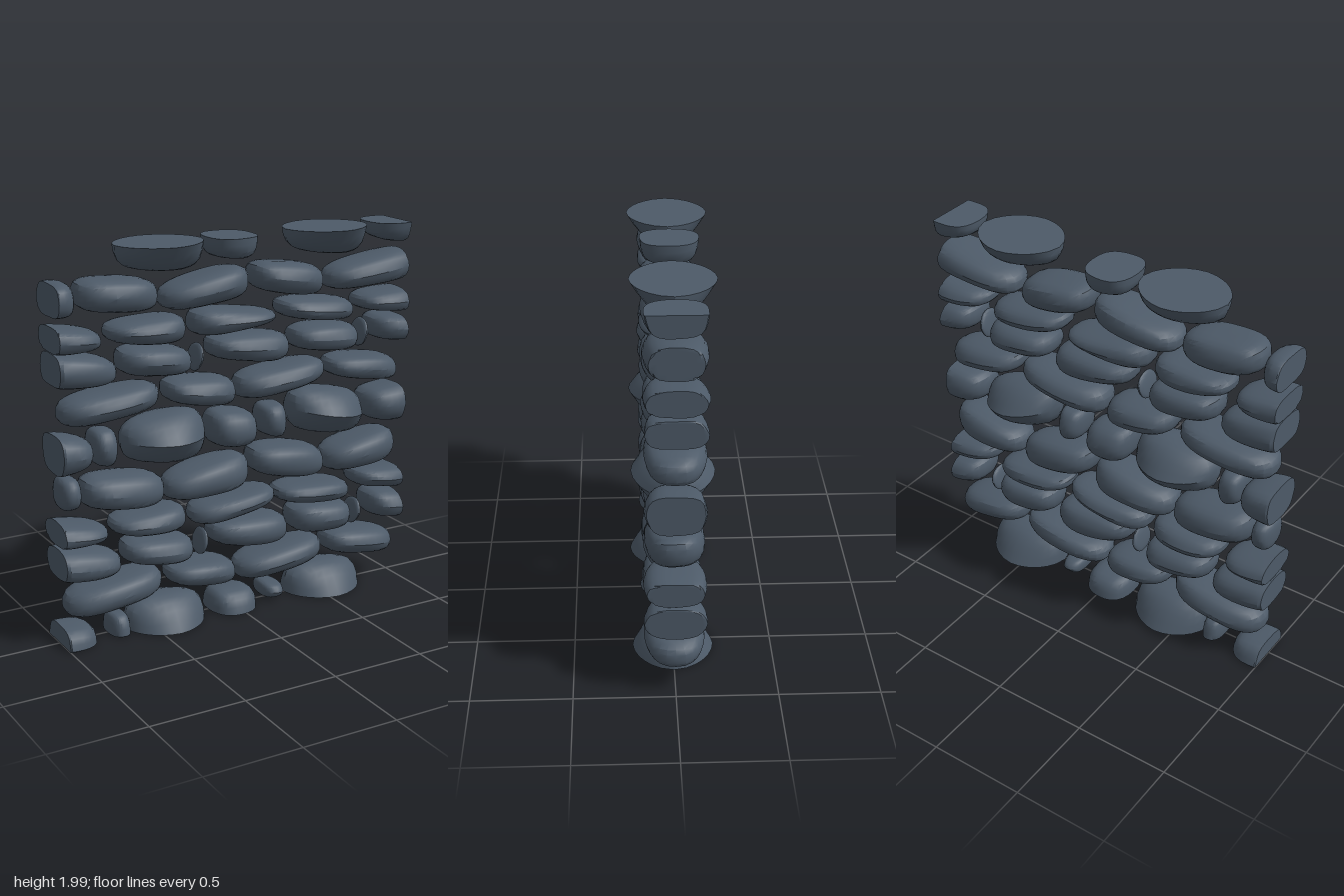
import * as THREE from 'three';
import { toCreasedNormals } from 'three/addons/utils/BufferGeometryUtils.js';

const slate = new THREE.MeshStandardMaterial({ color: 0x4d5a68 });
slate.name = 'slate';

const HEIGHT = 1.99;
const { lerp, clamp } = THREE.MathUtils;

// One rounded stone: left and right x, then heights of its four corners.
// Stones running past the wall's edges are cut flat there.
function stone([x0, x1, topL, topR, botL, botR], seed, boulder) {
  const left = x0 <= -1 ? -1.1 : x0;
  const right = x1 >= 1 ? 1.1 : x1;
  const width = right - left;
  const sliver = width < 0.07;
  const depth = boulder ? 0.205 : Math.min(0.148, 0.06 + 0.4 * width);
  const plan = boulder ? 1.8 : 2.5;
  const n = sliver ? 2.2 : 3.4;
  const taper = boulder ? 0.45 : 0.12;
  const geo = new THREE.BoxGeometry(2, 2, 2, 8, 6, 6);
  geo.deleteAttribute('uv');
  const pos = geo.attributes.position;
  for (let i = 0; i < pos.count; i++) {
    let x = pos.getX(i), y = pos.getY(i), z = pos.getZ(i);
    // Pull the cube onto a soft, squarish pebble
    const flat = (Math.abs(x) ** plan + Math.abs(z) ** plan) ** (1 / plan);
    const r = (flat ** n + Math.abs(y) ** n) ** (1 / n);
    x /= r; y /= r; z /= r;
    // Worn, uneven surface
    const wear = 1 + 0.025 * Math.sin(3 * x + 2.1 * seed) * Math.cos(2.5 * y + 1.7 * seed)
      + 0.02 * Math.sin(4 * z + 3 * y + seed);
    const u = (x + 1) / 2;
    const px = lerp(left, right, u) + (sliver ? y * 0.014 - x * 0.008 : 0);
    const py = lerp(lerp(botL, botR, u), lerp(topL, topR, u), (y * (boulder ? 1 : wear) + 1) / 2);
    const pz = z * depth * (1 - taper * Math.abs(y)) * (boulder ? 1 : wear);
    pos.setXYZ(i, clamp(px, -1, 1), clamp(py, 0, HEIGHT), pz);
  }
  return new THREE.Mesh(toCreasedNormals(geo, 0.5), slate);
}

export function createModel() {
  const wall = new THREE.Group();
  wall.name = 'stoneWall';
  let seed = 0;

  // A horizontal course of stones; boulders lists the large bulging ones
  function course(name, stones, boulders = []) {
    const group = new THREE.Group();
    group.name = name;
    stones.forEach((s, i) => {
      const big = boulders.includes(i);
      const mesh = stone(s, ++seed, big);
      mesh.name = big ? 'boulder' : 'stone';
      group.add(mesh);
    });
    wall.add(group);
  }

  // Half stones sitting on the ground
  course('baseCourse', [
    [-1, -0.82, 0.11, 0.09, -0.09, -0.09],
    [-0.74, -0.63, 0.11, 0.11, -0.1, -0.1],
    [-0.64, -0.19, 0.17, 0.15, -0.17, -0.15],
    [-0.15, 0.11, 0.12, 0.11, -0.12, -0.11],
    [0.16, 0.28, 0.1, 0.09, 0.01, 0.01],
    [0.32, 0.78, 0.17, 0.14, -0.17, -0.14],
  ], [2, 5]);

  course('secondCourse', [
    [-0.97, -0.44, 0.28, 0.34, 0.12, 0.19],
    [-0.4, -0.01, 0.32, 0.29, 0.2, 0.15],
    [0.01, 0.53, 0.27, 0.33, 0.13, 0.19],
    [0.56, 0.99, 0.33, 0.28, 0.19, 0.13],
  ]);

  course('thirdCourse', [
    [-1, -0.67, 0.53, 0.46, 0.35, 0.32],
    [-0.65, -0.26, 0.5, 0.47, 0.36, 0.32],
    [-0.22, -0.17, 0.47, 0.47, 0.33, 0.33],
    [-0.15, 0.31, 0.51, 0.49, 0.37, 0.32],
    [0.34, 0.71, 0.51, 0.49, 0.35, 0.33],
    [0.73, 0.78, 0.47, 0.47, 0.33, 0.33],
    [0.83, 1, 0.51, 0.49, 0.36, 0.32],
  ]);

  course('fourthCourse', [
    [-1, -0.74, 0.67, 0.61, 0.53, 0.52],
    [-0.71, -0.3, 0.63, 0.65, 0.53, 0.5],
    [-0.26, 0.23, 0.62, 0.66, 0.49, 0.56],
    [0.25, 0.7, 0.64, 0.61, 0.54, 0.49],
    [0.73, 1, 0.66, 0.63, 0.55, 0.5],
  ]);

  course('fifthCourse', [
    [-0.99, -0.88, 0.88, 0.87, 0.71, 0.71],
    [-0.87, -0.42, 0.88, 0.83, 0.69, 0.65],
    [-0.41, 0.07, 0.8, 0.88, 0.65, 0.67],
    [0.09, 0.53, 0.89, 0.83, 0.72, 0.65],
    [0.55, 0.99, 0.8, 0.88, 0.65, 0.69],
  ]);

  course('middleCourse', [
    [-1, -0.81, 1.11, 1.07, 0.89, 0.92],
    [-0.81, -0.68, 1.1, 1.1, 0.92, 0.9],
    [-0.64, -0.18, 1.12, 1.15, 0.9, 0.85],
    [-0.15, 0.11, 1.11, 1.08, 0.91, 0.89],
    [0.15, 0.29, 1.09, 1.1, 0.93, 0.9],
    [0.33, 0.78, 1.17, 1.1, 0.92, 0.85],
    [0.79, 1, 1.09, 1.11, 0.92, 0.89],
  ], [2, 5]);

  course('seventhCourse', [
    [-0.97, -0.44, 1.27, 1.32, 1.12, 1.17],
    [-0.4, -0.01, 1.31, 1.28, 1.18, 1.11],
    [0.01, 0.53, 1.28, 1.32, 1.12, 1.19],
    [0.56, 0.99, 1.31, 1.27, 1.19, 1.12],
  ]);

  course('eighthCourse', [
    [-1, -0.67, 1.53, 1.45, 1.34, 1.32],
    [-0.65, -0.26, 1.5, 1.46, 1.35, 1.32],
    [-0.24, -0.19, 1.46, 1.46, 1.32, 1.32],
    [-0.15, 0.31, 1.5, 1.48, 1.37, 1.31],
    [0.34, 0.73, 1.49, 1.48, 1.36, 1.32],
    [0.75, 0.8, 1.48, 1.48, 1.33, 1.33],
    [0.83, 1, 1.5, 1.48, 1.36, 1.34],
  ]);

  course('ninthCourse', [
    [-1, -0.75, 1.65, 1.6, 1.51, 1.5],
    [-0.71, -0.29, 1.62, 1.64, 1.52, 1.48],
    [-0.25, 0.23, 1.65, 1.6, 1.49, 1.53],
    [0.26, 0.7, 1.65, 1.61, 1.54, 1.48],
    [0.74, 1, 1.62, 1.64, 1.53, 1.49],
  ]);

  course('tenthCourse', [
    [-1, -0.89, 1.84, 1.85, 1.69, 1.67],
    [-0.87, -0.44, 1.86, 1.82, 1.69, 1.66],
    [-0.41, 0.07, 1.77, 1.86, 1.64, 1.68],
    [0.1, 0.51, 1.86, 1.8, 1.7, 1.63],
    [0.55, 1, 1.78, 1.86, 1.64, 1.68],
  ]);

  // Half stones with flat tops
  course('copingCourse', [
    [-0.65, -0.18, 2.11, 2.15, 1.87, 1.83],
    [-0.15, 0.11, 2.1, 2.11, 1.88, 1.87],
    [0.31, 0.78, 2.1, 2.16, 1.88, 1.82],
    [0.81, 1, 2.08, 2.11, 1.9, 1.87],
  ], [0, 2]);

  return wall;
}
